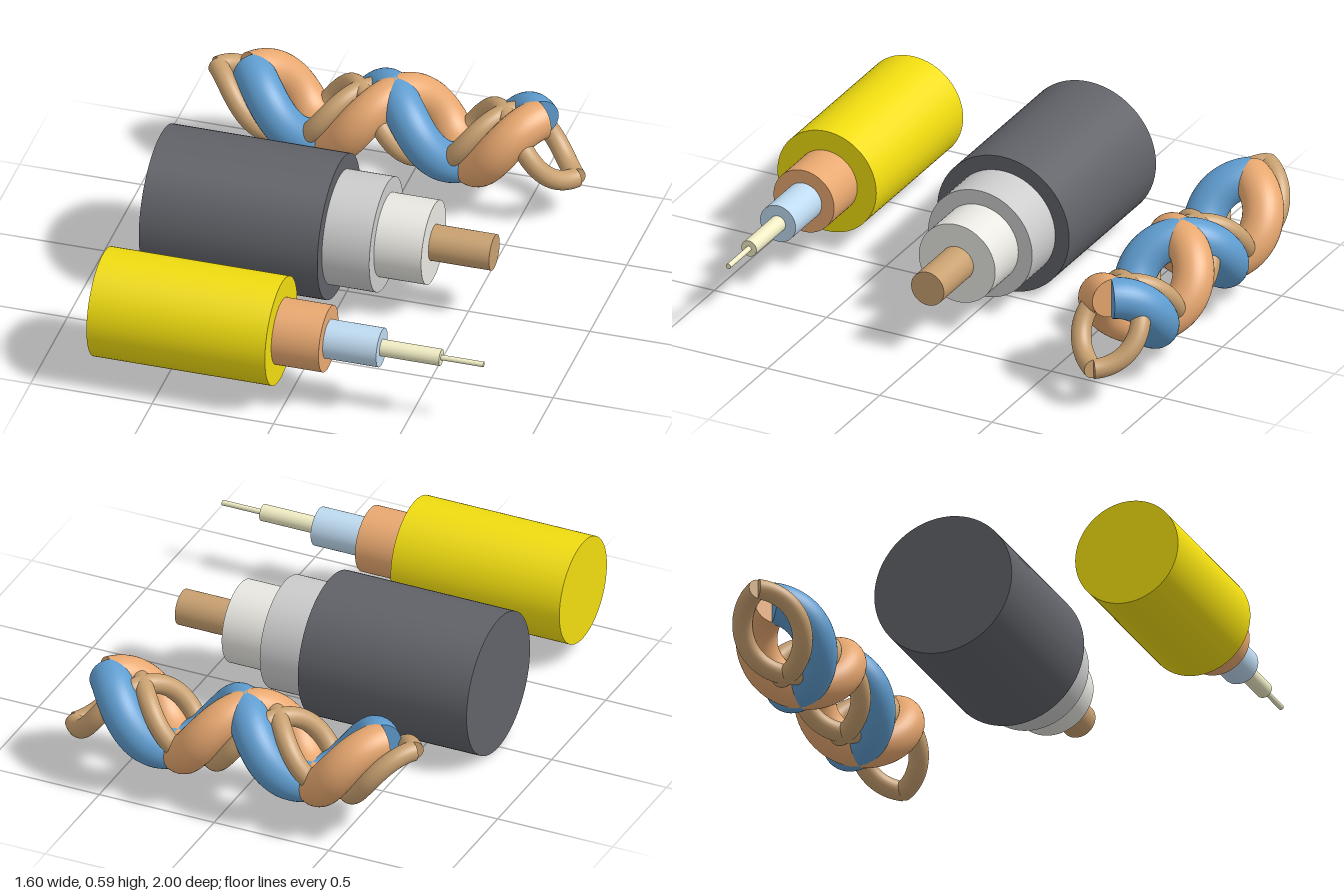
import * as THREE from 'three';

const AXIS_Y = 0.295;
const COLORS = {
  yellow: 0xf0dc10, copper: 0xe8a870, paleBlue: 0xbedaf0, cream: 0xf0ecc4,
  darkGrey: 0x606268, lightGrey: 0xd0d0d4, white: 0xe8e7e1, bronze: 0xc8a070, blue: 0x5f9dd0,
};
const material = (name) => new THREE.MeshStandardMaterial({ color: COLORS[name] });

// Stripped cable: each layer [name, color, radius, endX] sticks out of the previous one
function strippedCable(name, z, startX, layers) {
  const cable = new THREE.Group();
  cable.name = name;
  cable.position.set(0, AXIS_Y, z);
  let from = startX;
  for (const [layerName, color, radius, to] of layers) {
    const geometry = new THREE.CylinderGeometry(radius, radius, to - from, 64);
    geometry.rotateZ(-Math.PI / 2);
    const mesh = new THREE.Mesh(geometry, material(color));
    mesh.name = layerName;
    mesh.position.x = (from + to) / 2;
    cable.add(mesh);
    from = to - 0.02; // the next layer starts just inside this one
  }
  return cable;
}

// Coil along x, at its top at startX; hand (+1 or -1) sets the winding direction
class Coil extends THREE.Curve {
  constructor(startX, turns, hand) {
    super();
    Object.assign(this, { startX, turns, hand });
  }
  getPoint(t, target = new THREE.Vector3()) {
    const a = t * this.turns * Math.PI * 2;
    return target.set(
      this.startX + t * this.turns * 0.59,
      0.1225 * Math.cos(a),
      this.hand * 0.1225 * Math.sin(a)
    );
  }
}

// Round strand following a coil, closed by a disc at each end
function strand(name, color, curve, radius) {
  const group = new THREE.Group();
  group.name = name;
  const mat = material(color);
  const tube = new THREE.Mesh(new THREE.TubeGeometry(curve, 160, radius, 32), mat);
  tube.name = name + 'Body';
  group.add(tube);
  for (const end of [0, 1]) {
    const cap = new THREE.Mesh(new THREE.CircleGeometry(radius, 32), mat);
    const outward = curve.getTangentAt(end).multiplyScalar(end ? 1 : -1);
    cap.name = name + 'End';
    cap.position.copy(curve.getPointAt(end));
    cap.quaternion.setFromUnitVectors(new THREE.Vector3(0, 0, 1), outward);
    group.add(cap);
  }
  return group;
}

export function createModel() {
  const model = new THREE.Group();
  model.name = 'cableSamples';

  // Thin coaxial cable at the front
  model.add(strippedCable('thinCoaxialCable', 0.78, -0.77, [
    ['outerJacket', 'yellow', 0.22, -0.035],
    ['copperShield', 'copper', 0.135, 0.16],
    ['innerInsulation', 'paleBlue', 0.079, 0.38],
    ['coreCladding', 'cream', 0.034, 0.625],
    ['core', 'cream', 0.011, 0.8],
  ]));

  // Thick coaxial cable in the middle
  model.add(strippedCable('thickCoaxialCable', -0.005, -0.77, [
    ['outerJacket', 'darkGrey', 0.294, -0.035],
    ['braidedShield', 'lightGrey', 0.232, 0.16],
    ['dielectric', 'white', 0.17, 0.355],
    ['conductor', 'bronze', 0.073, 0.605],
  ]));

  // Twisted pair at the back: two thick insulated strands and two bare wires
  const pair = new THREE.Group();
  pair.name = 'twistedPair';
  pair.position.set(0, AXIS_Y, -0.795);
  pair.add(
    strand('blueStrand', 'blue', new Coil(-0.63, 2, 1), 0.0825),
    strand('copperStrand', 'copper', new Coil(-0.63, 2, -1), 0.0825)
  );
  for (const hand of [1, -1]) {
    pair.add(strand(hand > 0 ? 'leftHandWire' : 'rightHandWire', 'bronze', new Coil(-0.773, 2.5, hand), 0.04));
  }
  model.add(pair);
  return model;
}
